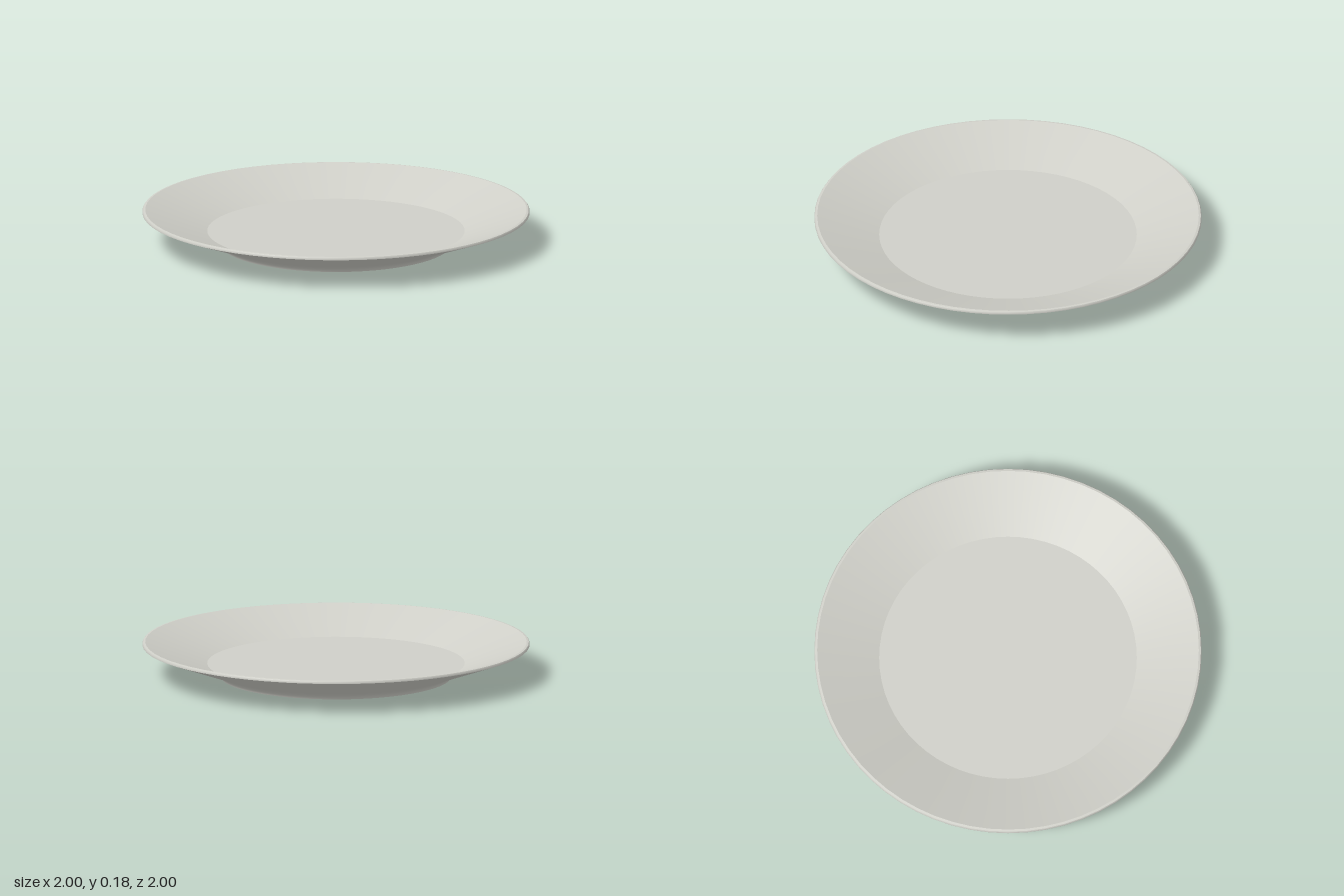
import * as THREE from 'three';

const SEGMENTS = 64;

export function createModel() {
  const plate = new THREE.Group();
  plate.name = 'plate';
  const ceramic = new THREE.MeshStandardMaterial({ color: 0xcfcfc8 });
  ceramic.name = 'pale grey ceramic';

  // Each band is smooth in itself and meets its neighbours at a sharp edge.
  // The bands run from the underside centre, out over the rim, to the top centre.
  const bands = {
    undersideRecess: [[0, 0.02], [0.55, 0.02]],
    footInnerWall: [[0.55, 0.02], [0.57, 0]],
    footBase: [[0.57, 0], [0.598, 0]],
    footOuterWall: [[0.598, 0], [0.604, 0.012], [0.62, 0.025], [0.65, 0.039]],
    outerSlope: [[0.65, 0.039], [1, 0.165]],
    rimEdge: [[1, 0.165], [1, 0.172], [0.996, 0.178]],
    rimTop: [[0.996, 0.178], [0.985, 0.18]],
    innerSlope: [[0.985, 0.18], [0.665, 0.067]],
    plateFloor: [[0.665, 0.067], [0, 0.067]],
  };

  for (const [name, profile] of Object.entries(bands)) {
    const points = profile.map(([r, y]) => new THREE.Vector2(r, y));
    const band = new THREE.Mesh(new THREE.LatheGeometry(points, SEGMENTS), ceramic);
    band.name = name;
    plate.add(band);
  }
  return plate;
}
